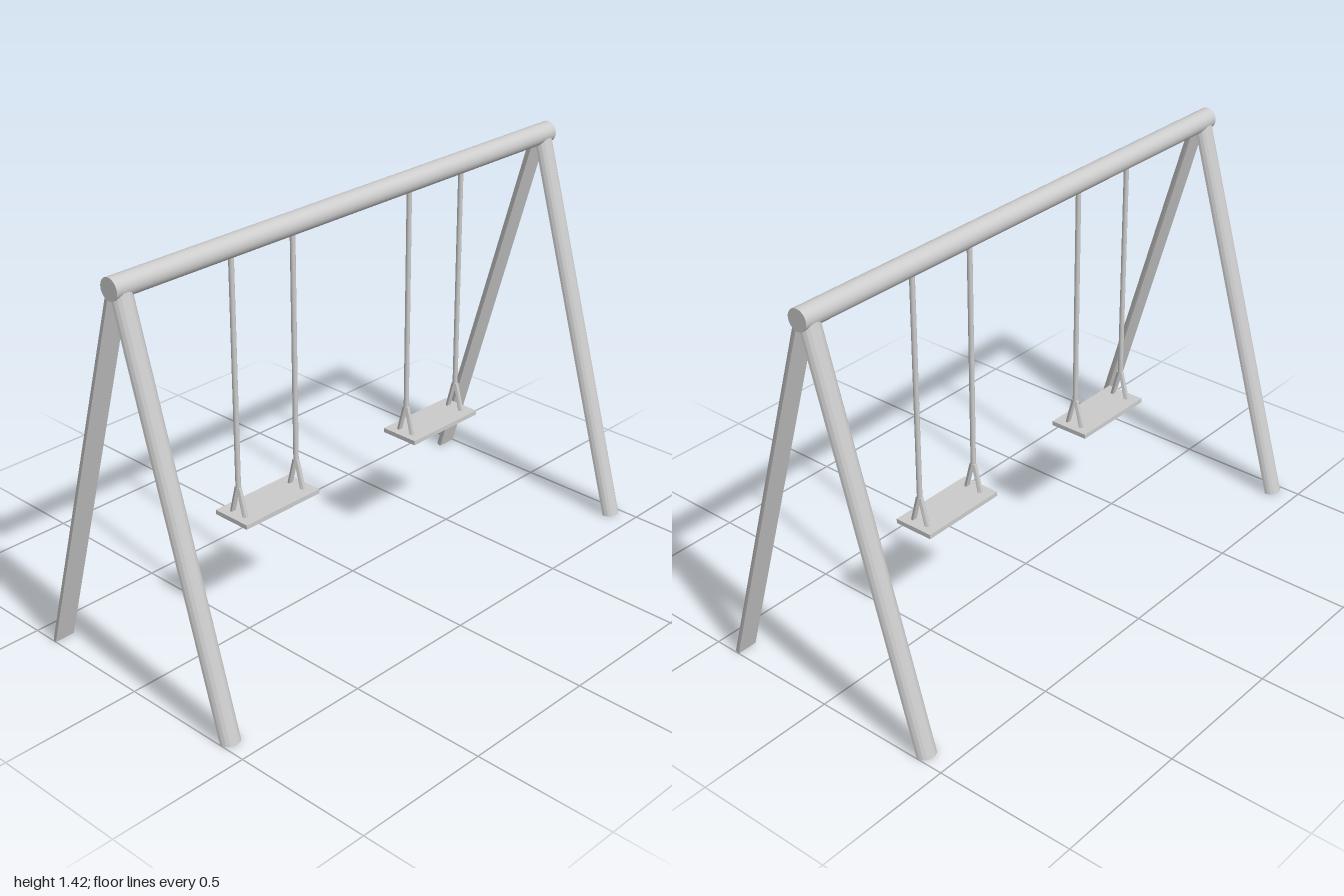
import * as THREE from 'three';
import { toCreasedNormals } from 'three/addons/utils/BufferGeometryUtils.js';

const material = new THREE.MeshStandardMaterial({ color: 0xcccccc });

function addMesh(parent, name, geometry, x = 0, y = 0, z = 0) {
  const mesh = new THREE.Mesh(geometry, material);
  mesh.name = name;
  mesh.position.set(x, y, z);
  parent.add(mesh);
  return mesh;
}

// Half-round bar cut level at both ends; its flat face runs from
// distance footZ behind the centre at y0 to topZ at y1.
function halfRoundBar(radius, depth, footZ, topZ, y0, y1) {
  const shape = new THREE.Shape();
  shape.absellipse(0, 0, radius, depth, 0, Math.PI, false, 0);
  shape.closePath();
  const height = y1 - y0;
  const geometry = new THREE.ExtrudeGeometry(shape, { depth: height, bevelEnabled: false, curveSegments: 20 });
  geometry.rotateX(-Math.PI / 2);
  const p = geometry.attributes.position;
  for (let i = 0; i < p.count; i++) {
    const t = p.getY(i) / height;
    p.setZ(i, p.getZ(i) - THREE.MathUtils.lerp(footZ, topZ, t));
    p.setY(i, p.getY(i) + y0);
  }
  return toCreasedNormals(geometry, 0.6);
}

// A back bar and its copy turned round to the front
function addPair(parent, name, geometry, x) {
  addMesh(parent, name + 'Back', geometry, x);
  addMesh(parent, name + 'Front', geometry, x).rotation.y = Math.PI;
}

export function createModel() {
  const group = new THREE.Group();
  group.name = 'swingSet';

  // Round top beam
  const beam = new THREE.CylinderGeometry(0.037, 0.037, 2, 40).rotateZ(Math.PI / 2);
  addMesh(group, 'topBeam', beam, 0, 1.38, 0);

  // Half-round legs in an A at each end
  const leg = halfRoundBar(0.0375, 0.035, 0.401, 0.0015, 0, 1.37);
  for (const side of [1, -1]) addPair(group, side > 0 ? 'leftLeg' : 'rightLeg', leg, side * 0.9625);

  // Two swings, each a flat seat on two forked hangers
  const seat = new THREE.BoxGeometry(0.33, 0.016, 0.146);
  const rod = new THREE.CylinderGeometry(0.009, 0.009, 0.81, 16);
  const strut = halfRoundBar(0.009, 0.0135, 0.027, 0, 0.448, 0.552);
  for (const side of [1, -1]) {
    const swing = new THREE.Group();
    swing.name = side > 0 ? 'leftSwing' : 'rightSwing';
    swing.position.x = side * 0.4;
    addMesh(swing, 'seat', seat, 0, 0.445, 0);
    for (const x of [-0.13, 0.13]) {
      addMesh(swing, 'hangerRod', rod, x, 0.955, 0);
      addPair(swing, 'hangerStrut', strut, x);
    }
    group.add(swing);
  }
  return group;
}
